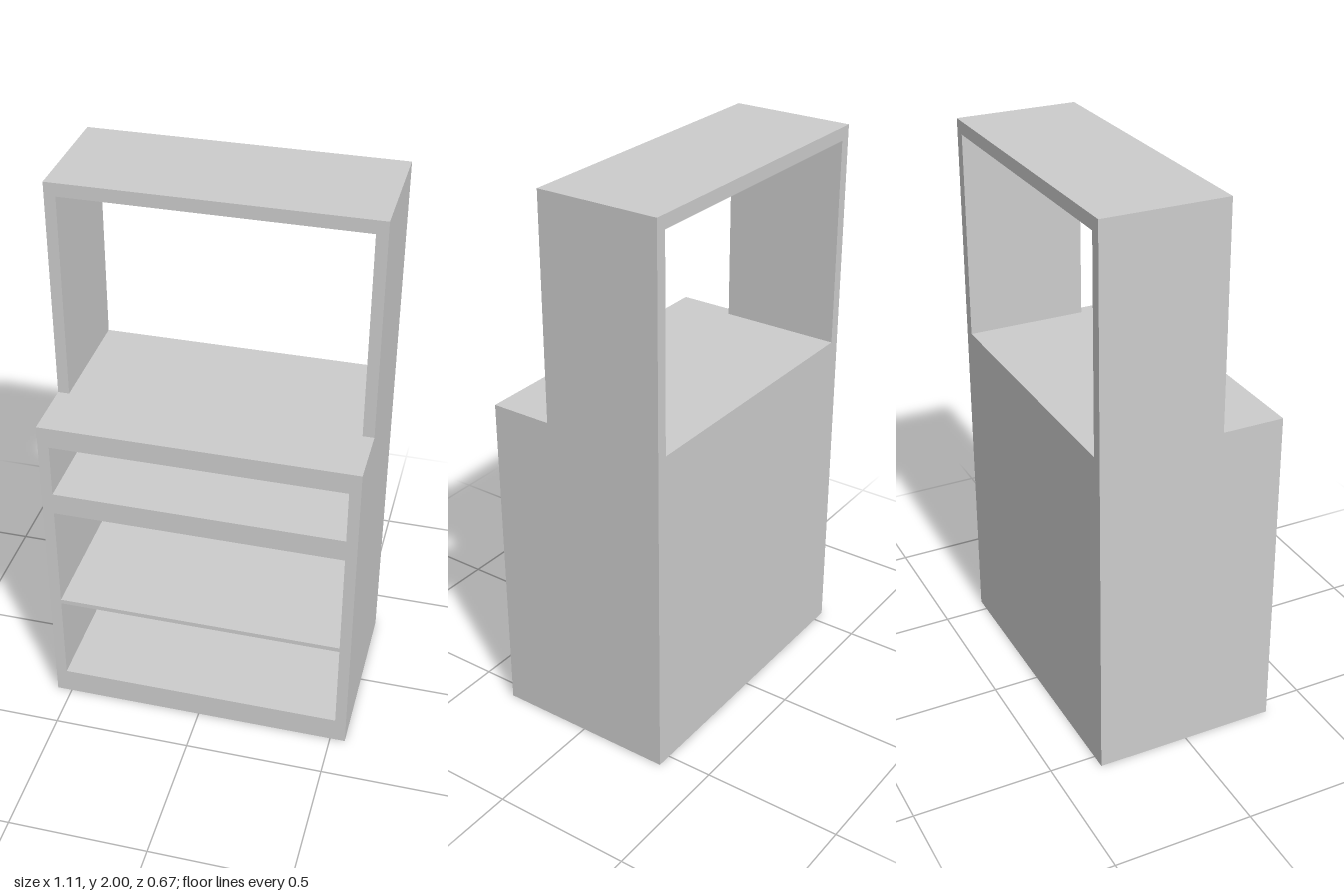
import * as THREE from 'three';

const W = 0.555, IN = 0.515;            // outer and inner half widths
const BACK = -0.333, FRONT = 0.333;     // cabinet depth
const COUNTER = 1.205, TOP = 2;         // heights
const HUTCH_FRONT = 0.11, BACK_INNER = -0.28;

// Closed rectangle, as a shape or as a hole
function rect(Type, x, y0, y1) {
  const p = new Type();
  p.moveTo(-x, y0);
  p.lineTo(x, y0);
  p.lineTo(x, y1);
  p.lineTo(-x, y1);
  p.closePath();
  return p;
}

export function createModel() {
  const group = new THREE.Group();
  group.name = 'hutchCabinet';
  const grey = new THREE.MeshStandardMaterial({ color: 0xcccccc });
  grey.name = 'light grey';

  function add(name, geometry) {
    const mesh = new THREE.Mesh(geometry, grey);
    mesh.name = name;
    group.add(mesh);
    return mesh;
  }
  function extrude(name, shape, z0, z1) {
    const geometry = new THREE.ExtrudeGeometry(shape, { depth: z1 - z0, bevelEnabled: false });
    add(name, geometry).position.z = z0;
  }
  function box(name, x, y0, y1, z0, z1) {
    const mesh = add(name, new THREE.BoxGeometry(2 * x, y1 - y0, z1 - z0));
    mesh.position.set(0, (y0 + y1) / 2, (z0 + z1) / 2);
  }

  // Lower cabinet with a drawer bay and a cupboard bay
  const body = rect(THREE.Shape, W, 0, COUNTER);
  body.holes.push(rect(THREE.Path, IN, 0.93, 1.128), rect(THREE.Path, IN, 0.095, 0.848));
  extrude('cabinetBody', body, BACK_INNER, FRONT);
  box('backPanel', W, 0, COUNTER, BACK, BACK_INNER);
  box('shelf', IN, 0.433, 0.45, BACK_INNER, FRONT);

  // Open hutch: two side posts joined by a top board
  const arch = new THREE.Shape();
  arch.moveTo(-W, COUNTER);
  arch.lineTo(-IN, COUNTER);
  arch.lineTo(-IN, 1.953);
  arch.lineTo(IN, 1.953);
  arch.lineTo(IN, COUNTER);
  arch.lineTo(W, COUNTER);
  arch.lineTo(W, TOP);
  arch.lineTo(-W, TOP);
  arch.closePath();
  extrude('hutchFrame', arch, BACK, HUTCH_FRONT);

  return group;
}
